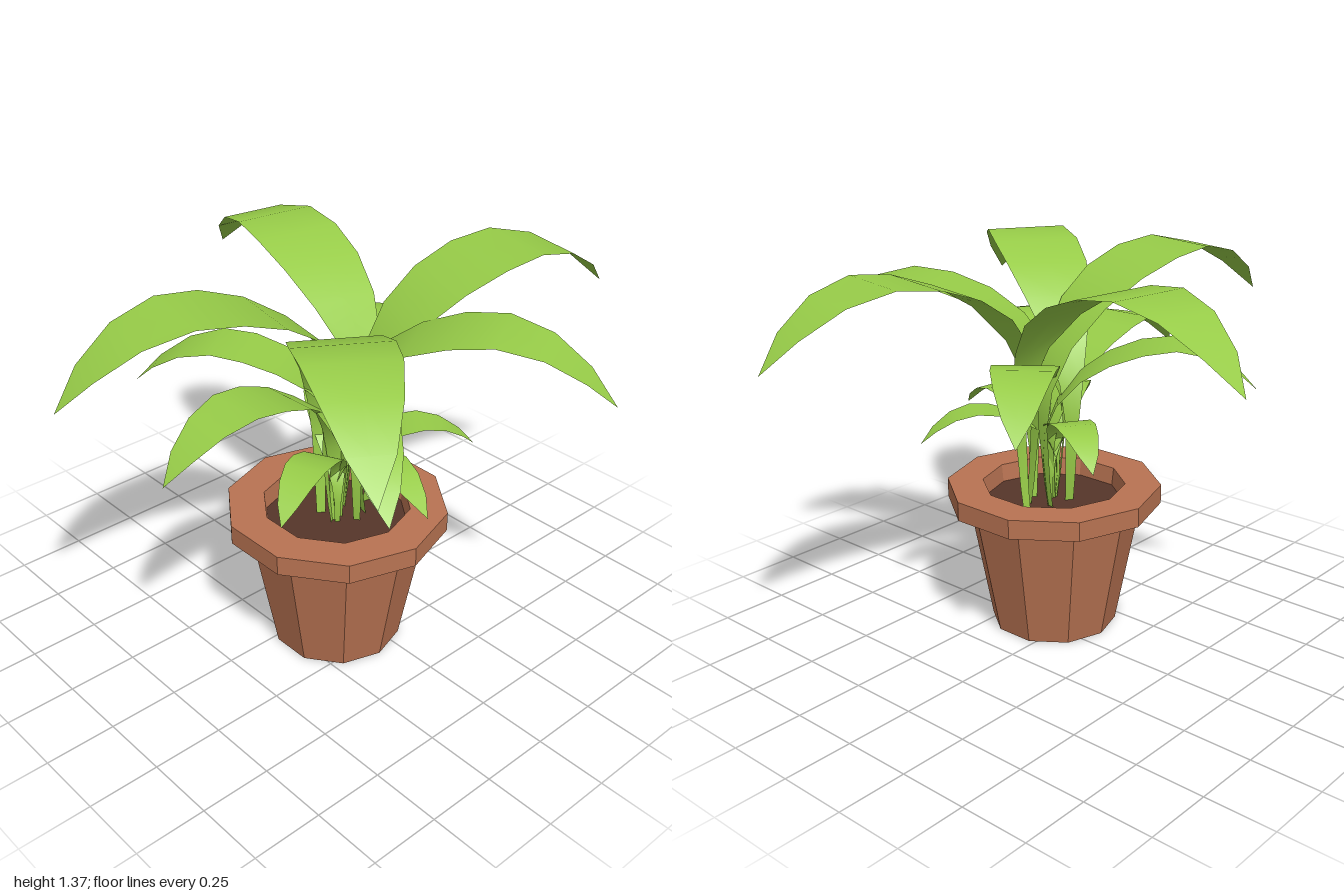
import * as THREE from 'three';

const potMat = new THREE.MeshStandardMaterial({ color: 0xb87352, flatShading: true, side: THREE.DoubleSide });
const soilMat = new THREE.MeshStandardMaterial({ color: 0x56352a, flatShading: true });
const leafMat = new THREE.MeshStandardMaterial({ color: 0x97cc48, side: THREE.DoubleSide });

const CENTER = { x: -0.08, z: 0.093 };
const FOOT_Y = 0.36; // leaves are rooted below the soil surface

// Full-size leaf: [distance outward, height above foot, width] from root to tip
const PROFILE = [
  [0.05, 0.0, 0.025], [0.02, 0.2, 0.035], [0.0, 0.42, 0.05], [0.01, 0.56, 0.085],
  [0.07, 0.71, 0.15], [0.18, 0.84, 0.24], [0.32, 0.93, 0.295], [0.475, 0.985, 0.315],
  [0.63, 1.005, 0.295], [0.79, 0.967, 0.235], [0.93, 0.88, 0.14], [1.035, 0.775, 0],
];

// Leaves in tiers: [tip x, tip z, heading in degrees from +z toward +x, scale]
const LEAVES = {
  largeLeaf: [
    [0.225, -0.9, 171, 1], [0.995, 0.325, 79, 1], [0.365, 0.89, 31, 0.915],
    [-0.65, 0.88, -33, 1], [-1.0, -0.13, -100.5, 1.0],
  ],
  mediumLeaf: [
    [-0.465, -0.51, -141, 0.72], [0.53, -0.29, 128, 0.72],
    [-0.81, 0.125, -88, 0.72], [-0.46, 0.735, -30, 0.72],
  ],
  smallLeaf: [
    [-0.51, 0.31, -64.5, 0.477], [-0.135, 0.58, -5, 0.477],
    [0.32, 0.36, 57.6, 0.477], [0.16, -0.29, 147.6, 0.477],
  ],
};

// Arching ribbon: a plane strip bent along the profile, running out along +z
function leafGeometry() {
  const geo = new THREE.PlaneGeometry(1, 1, 2, PROFILE.length - 1);
  const pos = geo.attributes.position;
  for (let i = 0; i < pos.count; i++) {
    const [out, up, width] = PROFILE[PROFILE.length - 1 - Math.floor(i / 3)];
    pos.setXYZ(i, pos.getX(i) * width, up, out);
  }
  // the first row of the plane is the tip, so reverse the winding to face the upper side up
  const index = geo.index.array;
  for (let i = 0; i < index.length; i += 3) {
    [index[i], index[i + 1]] = [index[i + 1], index[i]];
  }
  geo.computeVertexNormals();
  const normal = geo.attributes.normal;
  if (normal.getY(3 * 4 + 1) < 0) {
    for (let i = 0; i < index.length; i += 3) {
      [index[i], index[i + 1]] = [index[i + 1], index[i]];
    }
    geo.computeVertexNormals();
  }
  return geo;
}

export function createModel() {
  const model = new THREE.Group();
  model.name = 'pottedPlant';

  // Ten-sided tapered pot with an overhanging rim and a hollow top
  const potProfile = [
    [0, 0], [0.23, 0], [0.318, 0.47], [0.39, 0.47], [0.39, 0.54], [0.26, 0.54], [0.25, 0.45],
  ].map(([r, y]) => new THREE.Vector2(r, y));
  const pot = new THREE.Mesh(new THREE.LatheGeometry(potProfile, 10), potMat);
  pot.name = 'pot';
  pot.position.set(CENTER.x, 0, CENTER.z);
  model.add(pot);

  // Soil
  const soil = new THREE.Mesh(new THREE.CylinderGeometry(0.255, 0.25, 0.03, 10), soilMat);
  soil.name = 'soil';
  soil.position.set(CENTER.x, 0.46, CENTER.z);
  model.add(soil);

  // Foliage, each leaf placed so its tip lands on the given point
  const foliage = new THREE.Group();
  foliage.name = 'foliage';
  const geo = leafGeometry();
  const reach = PROFILE[PROFILE.length - 1][0];
  for (const [name, list] of Object.entries(LEAVES)) {
    for (const [x, z, degrees, scale] of list) {
      const heading = THREE.MathUtils.degToRad(degrees);
      const leaf = new THREE.Mesh(geo, leafMat);
      leaf.name = name;
      leaf.scale.setScalar(scale);
      leaf.rotation.y = heading;
      leaf.position.set(
        x - Math.sin(heading) * reach * scale, FOOT_Y, z - Math.cos(heading) * reach * scale);
      foliage.add(leaf);
    }
  }
  model.add(foliage);
  return model;
}
